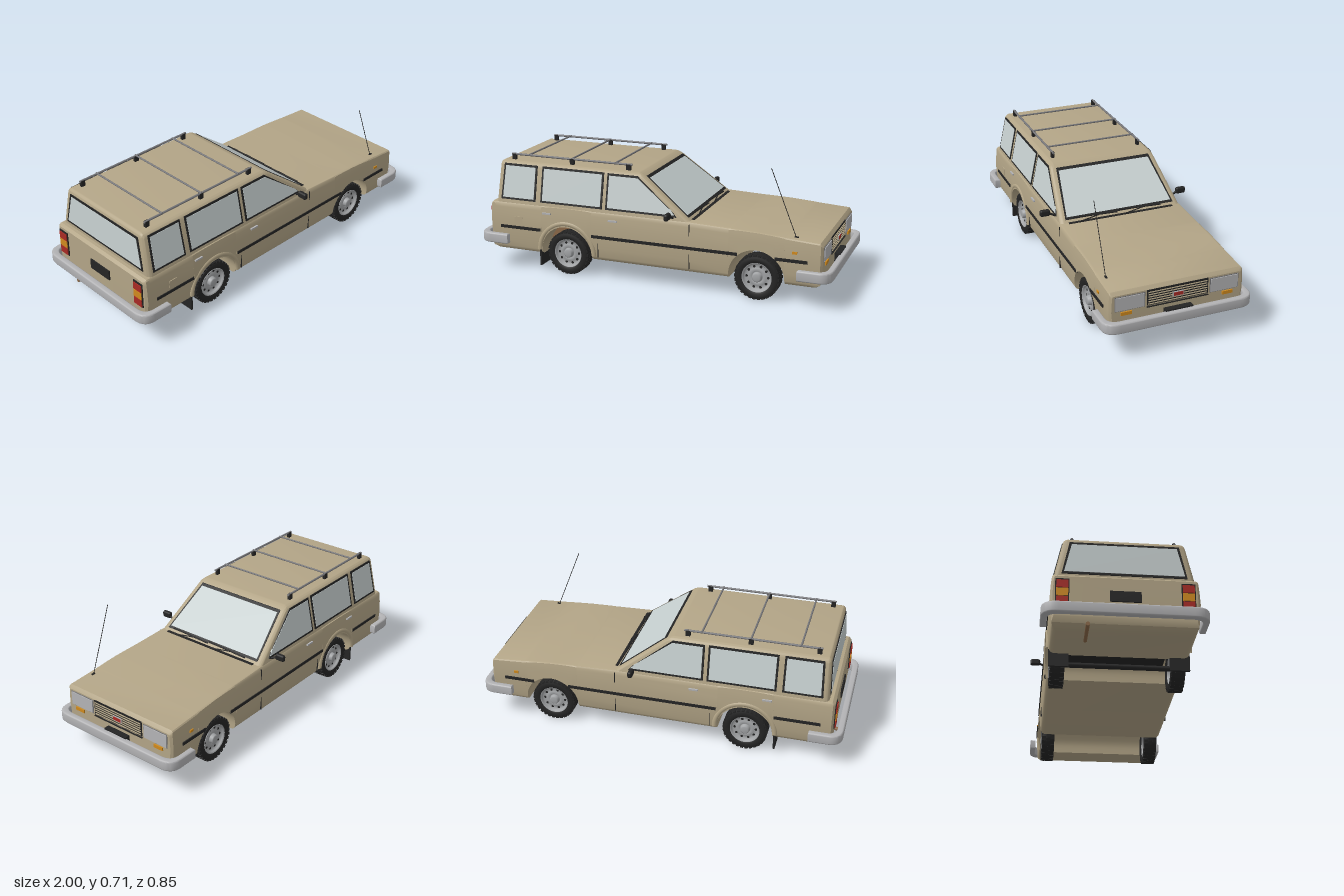
import * as THREE from 'three';
import { mergeGeometries, toCreasedNormals } from 'three/addons/utils/BufferGeometryUtils.js';
import { RoundedBoxGeometry } from 'three/addons/geometries/RoundedBoxGeometry.js';

const mat = (color, side = THREE.FrontSide) => new THREE.MeshStandardMaterial({ color, side });
const PAINT = mat(0xb3a587), DARK = mat(0x242424), GLASS = mat(0xc6cfcf), CHROME = mat(0xb2b2b4);
const RIM = mat(0xa2a4a6, THREE.DoubleSide), ORANGE = mat(0xd08a1e), RED = mat(0xa82a24);
const RUST = mat(0x8a6848), LAMP = mat(0xb4b4b6), RAIL = mat(0x77777a);

const V = (x, y, z) => new THREE.Vector3(x, y, z);
const add = (parent, name, geo, material, x = 0, y = 0, z = 0) => {
  const m = new THREE.Mesh(geo, material);
  m.name = name;
  m.position.set(x, y, z);
  parent.add(m);
  return m;
};
// box given by its limits on each axis
const box = (parent, name, material, [x0, x1], [y0, y1], [z0, z1]) =>
  add(parent, name, new THREE.BoxGeometry(x1 - x0, y1 - y0, z1 - z0), material, (x0 + x1) / 2, (y0 + y1) / 2, (z0 + z1) / 2);
const rod = (parent, name, material, a, b, r) => {
  const m = add(parent, name, new THREE.CylinderGeometry(r, r, a.distanceTo(b), 10), material);
  m.position.copy(a).lerp(b, 0.5);
  m.quaternion.setFromUnitVectors(V(0, 1, 0), b.clone().sub(a).normalize());
};
const interp = (table, v) => {
  let i = 1;
  while (i < table.length - 1 && v > table[i][0]) i++;
  const [a, b] = [table[i - 1], table[i]];
  return THREE.MathUtils.lerp(a[1], b[1], THREE.MathUtils.clamp((v - a[0]) / (b[0] - a[0]), 0, 1));
};
const warp = (geo, rule) => {
  const p = geo.attributes.position;
  for (let i = 0; i < p.count; i++) p.setXYZ(i, ...rule(p.getX(i), p.getY(i), p.getZ(i)));
  geo.computeVertexNormals();
  return geo;
};

// Lower body: cross-sections along x, with wheel arches cut into the bottom edge
const ARCHES = [{ x: 0.6, y: 0.13, r: 0.15 }, { x: -0.48, y: 0.13, r: 0.15 }];
const TOP = [[-0.945, 0.372], [-0.93, 0.385], [0.235, 0.387], [0.6, 0.374], [0.93, 0.353], [0.945, 0.335]];
const BOTTOM = [[-0.945, 0.16], [-0.935, 0.13], [-0.91, 0.112], [-0.88, 0.108], [0.88, 0.108], [0.91, 0.112], [0.935, 0.13], [0.945, 0.16]];
const WIDTH = [[0.108, 0.325], [0.115, 0.341], [0.13, 0.349], [0.25, 0.36], [0.34, 0.355], [0.39, 0.348]];
function bodyGeometry() {
  const xs = [...BOTTOM.map(p => p[0]), -0.93, 0.235, 0.93];
  for (const a of ARCHES) {
    xs.push(a.x - a.r - 0.0005, a.x + a.r + 0.0005);
    for (let i = 0; i <= 24; i++) xs.push(a.x - (a.r - 1e-5) * Math.cos(Math.PI * i / 24));
  }
  xs.sort((a, b) => a - b);
  const levels = [0, 0.02, 0.05, 0.09, 0.25, 0.5, 0.75, 0.9, 0.965, 0.99, 1], n = levels.length * 2;
  const pos = [], idx = [];
  for (const x of xs) {
    let yb = interp(BOTTOM, x);
    for (const a of ARCHES) if (Math.abs(x - a.x) < a.r) yb = Math.max(yb, a.y + Math.sqrt(a.r ** 2 - (x - a.x) ** 2));
    const yt = interp(TOP, x), tuck = Math.abs(x) > 0.94 ? 0.012 : 0;
    const half = levels.map(s => {
      const y = yb + (yt - yb) * s;
      return [y, interp(WIDTH, y) - tuck - (s === 1 ? 0.012 : s === 0.99 ? 0.004 : 0)];
    });
    half.forEach(([y, z]) => pos.push(x, y, z));
    half.reverse().forEach(([y, z]) => pos.push(x, y, -z));
  }
  for (let i = 0; i < xs.length - 1; i++) for (let j = 0; j < n; j++) {
    const a = i * n + j, b = i * n + (j + 1) % n, c = b + n, d = a + n;
    idx.push(a, d, b, d, c, b);
  }
  const last = (xs.length - 1) * n;
  for (let j = 1; j < n - 1; j++) idx.push(0, j, j + 1, last, last + j + 1, last + j);
  const geo = new THREE.BufferGeometry();
  geo.setAttribute('position', new THREE.Float32BufferAttribute(pos, 3));
  geo.setIndex(idx);
  return toCreasedNormals(geo, 0.5);
}

// Greenhouse planes
const rise = y => (y - 0.385) / 0.225;
const sideZ = y => 0.345 * (1 - 0.14 * rise(y));
const frontX = y => 0.235 - 0.295 * rise(y);
const rearX = y => -0.912 + 0.01 * rise(y);
const onSide = (u, v, w) => [u, v, sideZ(v) + w];
const onFront = (u, v, w) => [frontX(v) + w, v, -u];
const onRear = (u, v, w) => [rearX(v) - w, v, u];

// Glass with a dark surround, laid on one greenhouse plane
function pane(parent, name, pts, rule, d = 0.011) {
  const slab = (points, depth) => warp(new THREE.ExtrudeGeometry(
    new THREE.Shape(points.map(p => new THREE.Vector2(...p))), { depth, bevelEnabled: false }), rule);
  const shrink = k => {
    const c = pts.map(p => p[k]), lo = Math.min(...c), hi = Math.max(...c), mid = (lo + hi) / 2;
    return v => mid + (v - mid) * (1 - 2 * d / (hi - lo));
  };
  const [sx, sy] = [shrink(0), shrink(1)];
  add(parent, name + 'Frame', slab(pts, 0.004), DARK);
  add(parent, name + 'Glass', slab(pts.map(([u, v]) => [sx(u), sy(v)]), 0.006), GLASS);
}

function makeWheel() {
  const wheel = new THREE.Group();
  wheel.name = 'wheel';
  const lathe = (pts, seg) => new THREE.LatheGeometry(pts.map(p => new THREE.Vector2(...p)), seg).rotateX(Math.PI / 2);
  add(wheel, 'tire', lathe([[0.078, -0.03], [0.09, -0.037], [0.108, -0.037], [0.119, -0.03], [0.121, 0],
    [0.119, 0.03], [0.108, 0.037], [0.09, 0.037], [0.078, 0.03]], 48), DARK);
  // Tread blocks in staggered rows
  const lugs = [];
  for (let row = -1; row <= 1; row++) for (let i = 0; i < 30; i++)
    lugs.push(new THREE.BoxGeometry(0.008, 0.016, 0.021).translate(0.117, 0, row * 0.0245)
      .rotateZ((i + (row ? 0 : 0.5)) / 30 * Math.PI * 2));
  add(wheel, 'tread', mergeGeometries(lugs), DARK);
  add(wheel, 'rim', lathe([[0.079, -0.03], [0.073, -0.015], [0.071, 0.01], [0.073, 0.026], [0.081, 0.034], [0.079, 0.036],
    [0.072, 0.03], [0.068, 0.014], [0.048, 0.02], [0.036, 0.024], [0.03, 0.018], [0.026, 0.02], [0.024, 0.036], [0.018, 0.04], [0, 0.04]], 40), RIM);
  const holes = [];
  for (let i = 0; i < 10; i++) {
    const a = i / 10 * Math.PI * 2;
    holes.push(new THREE.CylinderGeometry(0.007, 0.007, 0.012, 12).rotateX(Math.PI / 2).translate(0.058 * Math.cos(a), 0.058 * Math.sin(a), 0.013));
  }
  add(wheel, 'rimHoles', mergeGeometries(holes), DARK);
  return wheel;
}

// Wrap-round bumper, drawn in plan and extruded upward
function bumperGeometry() {
  const s = new THREE.Shape();
  s.moveTo(0.83, -0.393).lineTo(0.93, -0.393).quadraticCurveTo(0.993, -0.393, 0.993, -0.32);
  s.lineTo(0.993, 0.32).quadraticCurveTo(0.993, 0.393, 0.93, 0.393).lineTo(0.83, 0.393).lineTo(0.83, 0.375);
  s.lineTo(0.92, 0.375).quadraticCurveTo(0.973, 0.37, 0.973, 0.31).lineTo(0.973, -0.31);
  s.quadraticCurveTo(0.973, -0.37, 0.92, -0.375).lineTo(0.83, -0.375).closePath();
  const geo = new THREE.ExtrudeGeometry(s, { depth: 0.04, bevelSize: 0.007, bevelThickness: 0.008, bevelSegments: 3, curveSegments: 10 });
  return toCreasedNormals(geo.rotateX(-Math.PI / 2).translate(0, 0.163, 0), 0.6);
}

// Everything that exists on both flanks, built for +z
function makeSide() {
  const side = new THREE.Group();
  pane(side, 'cargoWindow', [[-0.88, 0.402], [-0.668, 0.402], [-0.668, 0.596], [-0.872, 0.596]], onSide);
  pane(side, 'rearDoorWindow', [[-0.638, 0.402], [-0.268, 0.402], [-0.268, 0.596], [-0.638, 0.596]], onSide);
  pane(side, 'frontDoorWindow', [[-0.248, 0.402], [0.16, 0.402], [0.14, 0.425], [-0.075, 0.594], [-0.248, 0.594]], onSide);
  for (const [a, b] of [[-0.88, -0.635], [-0.325, 0.5], [0.7, 0.87]]) box(side, 'rubStrip', DARK, [a, b], [0.24, 0.256], [0.35, 0.364]);
  for (const x of [-0.595, -0.2]) box(side, 'doorHandle', CHROME, [x - 0.025, x + 0.025], [0.341, 0.35], [0.35, 0.362]);
  for (const [x, y] of [[0.235, 0.13], [-0.29, 0.13]]) box(side, 'doorSeam', DARK, [x - 0.0015, x + 0.0015], [y, x > 0 ? 0.375 : 0.235], [0.34, 0.3565]);
  box(side, 'sideMarker', ORANGE, [0.79, 0.815], [0.285, 0.298], [0.35, 0.363]);
  add(side, 'archFlare', new THREE.TorusGeometry(0.163, 0.014, 8, 32, Math.PI).scale(1, 1, 0.8), PAINT, -0.48, 0.135, 0.352);
  box(side, 'mudFlap', DARK, [-0.647, -0.637], [0.04, 0.19], [0.25, 0.35]);
  for (const a of ARCHES) {
    const w = makeWheel();
    w.position.set(a.x, 0.125, 0.3025);
    side.add(w);
  }
  // Door mirror
  add(side, 'mirrorHead', new RoundedBoxGeometry(0.026, 0.037, 0.056, 3, 0.011), DARK, 0.13, 0.418, 0.398);
  rod(side, 'mirrorArm', DARK, V(0.14, 0.395, 0.335), V(0.13, 0.415, 0.38), 0.006);
  // Roof rail on its feet
  rod(side, 'roofRail', RAIL, V(-0.85, 0.64, 0.255), V(-0.125, 0.64, 0.255), 0.006);
  for (const x of [-0.835, -0.48, -0.145]) box(side, 'railFoot', DARK, [x - 0.012, x + 0.012], [0.6, 0.642], [0.246, 0.262]);
  // Lamps
  box(side, 'headlightSurround', RAIL, [0.93, 0.947], [0.249, 0.328], [0.173, 0.33]);
  box(side, 'headlight', LAMP, [0.93, 0.951], [0.253, 0.324], [0.178, 0.326]);
  box(side, 'turnSignal', ORANGE, [0.93, 0.952], [0.225, 0.243], [0.242, 0.3]);
  box(side, 'tailLightHousing', DARK, [-0.95, -0.93], [0.215, 0.357], [0.268, 0.335]);
  [[RED, 0.308], [ORANGE, 0.264], [RED, 0.22]].forEach(([m, y]) => box(side, 'tailLight', m, [-0.955, -0.94], [y, y + 0.04], [0.273, 0.33]));
  return side;
}

export function createModel() {
  const car = new THREE.Group();
  car.name = 'stationWagon';
  add(car, 'lowerBody', bodyGeometry(), PAINT);
  const cabin = warp(new RoundedBoxGeometry(1.14, 0.25, 0.69, 4, 0.025), (x, y, z) => {
    const h = y + 0.485, u = x / 1.14 + 0.5;
    return [THREE.MathUtils.lerp(rearX(h), frontX(h), u), h, z / 0.345 * sideZ(h)];
  });
  add(car, 'cabin', toCreasedNormals(cabin, 0.5), PAINT);
  pane(car, 'windscreen', [[-0.312, 0.4], [0.312, 0.4], [0.272, 0.592], [-0.272, 0.592]], onFront, 0.01);
  pane(car, 'rearWindow', [[-0.305, 0.405], [0.305, 0.405], [0.268, 0.585], [-0.268, 0.585]], onRear, 0.012);

  const left = makeSide(), right = left.clone();
  left.name = 'leftSide';
  right.name = 'rightSide';
  right.scale.z = -1;
  car.add(left, right);

  // Bumpers and plates
  add(car, 'frontBumper', bumperGeometry(), CHROME);
  add(car, 'rearBumper', bumperGeometry(), CHROME).rotation.y = Math.PI;
  box(car, 'frontPlate', DARK, [0.94, 0.976], [0.15, 0.218], [-0.073, 0.073]);
  box(car, 'rearPlate', DARK, [-0.953, -0.94], [0.245, 0.3], [-0.075, 0.075]);

  // Grille
  box(car, 'grille', DARK, [0.93, 0.948], [0.25, 0.335], [-0.163, 0.163]);
  for (let i = 0; i < 6; i++) box(car, 'grilleSlat', PAINT, [0.94, 0.952], [0.256 + i * 0.0128, 0.2605 + i * 0.0128], [-0.157, 0.157]);
  box(car, 'grilleTrim', DARK, [0.94, 0.952], [0.241, 0.245], [-0.165, 0.165]);
  box(car, 'grilleBadgeRim', CHROME, [0.94, 0.954], [0.275, 0.299], [-0.029, 0.029]);
  box(car, 'grilleBadge', RED, [0.94, 0.956], [0.278, 0.296], [-0.025, 0.025]);

  // Rear wheel housing and axle
  const housing = new THREE.Shape().absarc(0, 0, 0.147, 0.32, Math.PI - 0.32);
  add(car, 'rearWheelHousing', new THREE.ExtrudeGeometry(housing, { depth: 0.5, bevelEnabled: false, curveSegments: 24 }), [RUST, DARK], -0.48, 0.13, -0.25);
  rod(car, 'rearAxle', DARK, V(-0.48, 0.125, -0.29), V(-0.48, 0.125, 0.29), 0.014);
  rod(car, 'exhaustPipe', RUST, V(-0.97, 0.112, -0.18), V(-0.79, 0.112, -0.18), 0.01);

  // Roof rack crossbars
  for (const x of [-0.74, -0.48, -0.22]) rod(car, 'rackCrossbar', RAIL, V(x, 0.643, -0.26), V(x, 0.643, 0.26), 0.005);

  // Cowl, wipers, fuel flap, aerial
  box(car, 'cowlVent', DARK, [0.228, 0.246], [0.38, 0.3895], [-0.3, 0.3]);
  for (const z of [0.02, -0.235]) {
    rod(car, 'wiperBlade', DARK, V(frontX(0.402) + 0.014, 0.402, z), V(frontX(0.408) + 0.014, 0.408, z + 0.25), 0.004);
    rod(car, 'wiperArm', DARK, V(0.245, 0.39, z + 0.23), V(frontX(0.405) + 0.018, 0.405, z + 0.1), 0.003);
  }
  box(car, 'fuelFlap', PAINT, [-0.795, -0.745], [0.27, 0.31], [0.35, 0.3605]);
  rod(car, 'aerial', DARK, V(0.8, 0.355, 0.317), V(0.66, 0.71, 0.323), 0.0018);
  box(car, 'aerialBase', DARK, [0.79, 0.81], [0.352, 0.366], [0.312, 0.322]);
  return car;
}
